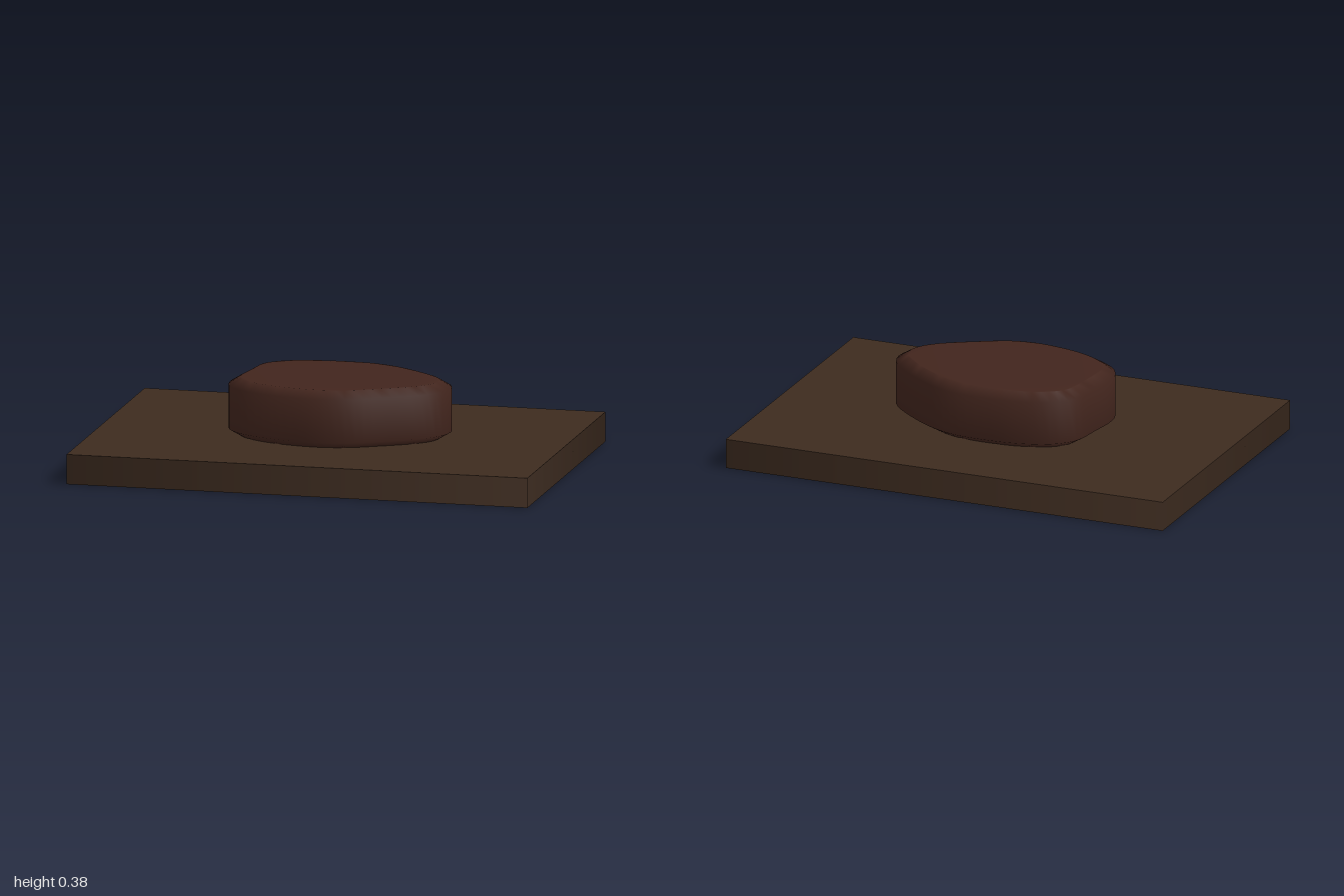
import * as THREE from 'three';
import { mergeVertices } from 'three/addons/utils/BufferGeometryUtils.js';

// Rectangular slab: four-sided prism, soft shading around its sides
function createBoard() {
  const height = 0.128;
  const geometry = new THREE.CylinderGeometry(Math.SQRT2, Math.SQRT2, height, 4);
  geometry.rotateY(Math.PI / 4);
  geometry.scale(1, 1, 0.688);
  geometry.translate(0, height / 2, 0);
  const board = new THREE.Mesh(geometry, new THREE.MeshStandardMaterial({ color: 0x3d2b1f }));
  board.name = 'board';
  return board;
}

// Rounded irregular block with a chamfer along its top and bottom rims
function createBlock() {
  const bottom = 0.128, top = 0.375, chamfer = 0.03, inset = 0.05;
  const outline = [
    [0.5, 0], [0.475, -0.085], [0.4, -0.165], [0.24, -0.282], [0.12, -0.332],
    [-0.02, -0.345], [-0.18, -0.333], [-0.32, -0.285], [-0.4, -0.2], [-0.425, -0.06],
    [-0.442, 0.07], [-0.425, 0.16], [-0.37, 0.23], [-0.27, 0.29], [-0.15, 0.328],
    [0, 0.345], [0.13, 0.322], [0.25, 0.262], [0.4, 0.17], [0.475, 0.09],
  ].map(([x, z]) => new THREE.Vector3(x, z, 0));
  const curve = new THREE.CatmullRomCurve3(outline, true);
  const points = curve.getSpacedPoints(64).slice(0, 64);
  const shape = new THREE.Shape(points.map((p) => new THREE.Vector2(p.x, p.y)));

  let geometry = new THREE.ExtrudeGeometry(shape, {
    depth: top - bottom - 2 * chamfer,
    bevelEnabled: true,
    bevelSegments: 1,
    bevelThickness: chamfer,
    bevelSize: inset,
    bevelOffset: -inset,
  });
  geometry.rotateX(Math.PI / 2);
  geometry.translate(0, top - chamfer, 0);

  // Share corners so the whole block shades smoothly
  geometry.deleteAttribute('uv');
  geometry.deleteAttribute('normal');
  geometry = mergeVertices(geometry);
  geometry.clearGroups();
  geometry.computeVertexNormals();

  const block = new THREE.Mesh(geometry, new THREE.MeshStandardMaterial({ color: 0x42251d }));
  block.name = 'roundedBlock';
  return block;
}

export function createModel() {
  const model = new THREE.Group();
  model.name = 'blockOnBoard';
  model.add(createBoard(), createBlock());
  return model;
}
